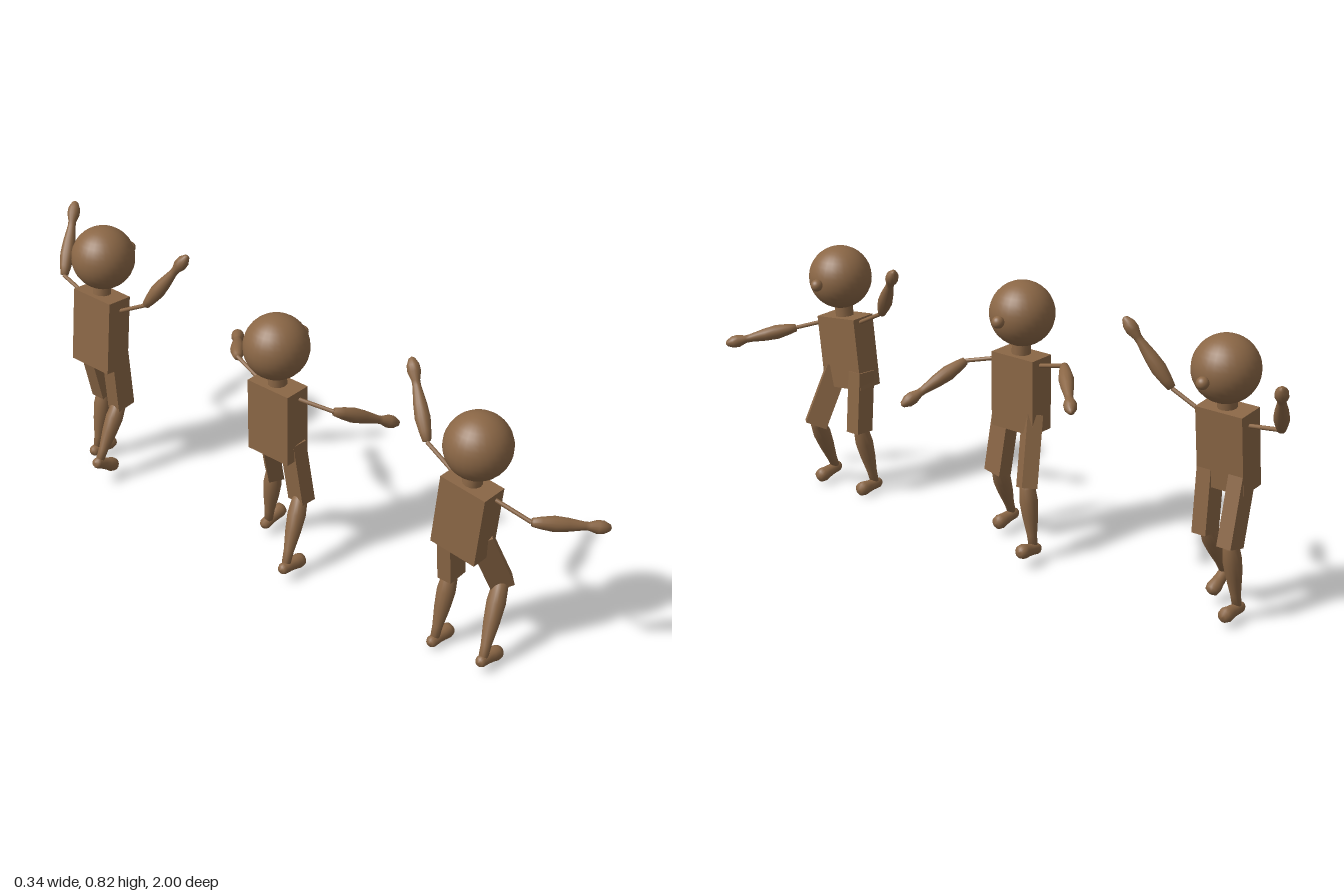
import * as THREE from 'three';

const clay = new THREE.MeshStandardMaterial({ color: 0x8b6746 });
clay.name = 'brown clay';
const UP = new THREE.Vector3(0, 1, 0);

// Lathe profiles as [radius, fraction of length]
const FOREARM = [[0, 0], [0.012, 0.01], [0.017, 0.12], [0.022, 0.28], [0.019, 0.45], [0.012, 0.66],
  [0.012, 0.72], [0.019, 0.82], [0.018, 0.9], [0.009, 0.98], [0, 1]];
const CALF = [[0, 0], [0.016, 0.01], [0.023, 0.12], [0.027, 0.32], [0.023, 0.55], [0.015, 0.82], [0.013, 0.99], [0, 1]];
const FOOT = [[0, 0], [0.012, 0.03], [0.017, 0.12], [0.017, 0.4], [0.019, 0.6], [0.022, 0.78], [0.019, 0.92], [0.01, 0.98], [0, 1]];

// Place a y-aligned geometry between two points
function between(name, a, b, makeGeometry) {
  const p = new THREE.Vector3(...a), d = new THREE.Vector3(...b).sub(p);
  const mesh = new THREE.Mesh(makeGeometry(d.length()), clay);
  mesh.name = name;
  mesh.position.copy(p).addScaledVector(d, 0.5);
  mesh.quaternion.setFromUnitVectors(UP, d.normalize());
  return mesh;
}

const rod = (r) => (len) => new THREE.CylinderGeometry(r, r, len, 12);
const box = (w, depth) => (len) => new THREE.BoxGeometry(w, len, depth);
const turned = (profile) => (len) =>
  new THREE.LatheGeometry(profile.map(([r, t]) => new THREE.Vector2(r, (t - 0.5) * len)), 14);

function ball(name, r, p) {
  const mesh = new THREE.Mesh(new THREE.SphereGeometry(r, 28, 18), clay);
  mesh.name = name;
  mesh.position.set(...p);
  return mesh;
}

function figure(name, pose) {
  const g = new THREE.Group();
  g.name = name;
  const { head, chest, pelvis, nose } = pose;
  g.add(between('torso', pelvis, chest, box(0.085, 0.15)));
  g.add(between('neck', chest, head, rod(0.028)));
  g.add(ball('head', 0.095, head));
  g.add(ball('nose', 0.018, nose));
  for (const { shoulder, elbow, tip } of pose.arms) {
    g.add(between('upperArm', shoulder, elbow, rod(0.006)));
    g.add(between('forearmAndHand', elbow, tip, turned(FOREARM)));
  }
  for (const { hip, knee, ankle, heel, toe } of pose.legs) {
    g.add(between('thigh', hip, knee, box(0.066, 0.046)));
    g.add(between('calf', [knee[0], knee[1] + 0.025, knee[2]], ankle, turned(CALF)));
    g.add(between('foot', heel, toe, turned(FOOT)));
  }
  return g;
}

// Joint positions of the three walking figures, all facing +x
const poses = {
  firstFigure: {
    head: [-0.07, 0.685, 0.697], nose: [0.034, 0.682, 0.697],
    chest: [-0.0725, 0.565, 0.685], pelvis: [-0.0725, 0.345, 0.66],
    arms: [
      { shoulder: [-0.065, 0.54, 0.74], elbow: [-0.037, 0.497, 0.857], tip: [0.13, 0.457, 1.0] },
      { shoulder: [-0.06, 0.555, 0.62], elbow: [-0.053, 0.61, 0.515], tip: [0.033, 0.787, 0.386] }],
    legs: [
      { hip: [-0.062, 0.395, 0.712], knee: [0.01, 0.218, 0.742], ankle: [-0.105, 0.035, 0.773],
        heel: [-0.125, 0.036, 0.773], toe: [-0.025, 0.022, 0.773] },
      { hip: [-0.06, 0.405, 0.61], knee: [-0.045, 0.212, 0.61], ankle: [-0.105, 0.025, 0.606],
        heel: [-0.13, 0.02, 0.606], toe: [-0.03, 0.02, 0.606] }],
  },
  secondFigure: {
    head: [-0.075, 0.715, -0.005], nose: [0.034, 0.715, -0.005],
    chest: [-0.0725, 0.595, -0.004], pelvis: [-0.0725, 0.37, -0.004],
    arms: [
      { shoulder: [-0.07, 0.57, 0.055], elbow: [-0.025, 0.547, 0.164], tip: [0.173, 0.447, 0.24] },
      { shoulder: [-0.068, 0.57, -0.06], elbow: [-0.048, 0.602, -0.178], tip: [0.122, 0.547, -0.335] }],
    legs: [
      { hip: [-0.062, 0.42, 0.042], knee: [-0.045, 0.22, 0.062], ankle: [-0.145, 0.055, 0.09],
        heel: [-0.17, 0.045, 0.09], toe: [-0.07, 0.035, 0.09] },
      { hip: [-0.065, 0.42, -0.052], knee: [0.002, 0.222, -0.085], ankle: [0, 0.045, -0.108],
        heel: [-0.025, 0.032, -0.11], toe: [0.073, 0.052, -0.114] }],
  },
  thirdFigure: {
    head: [-0.035, 0.723, -0.728], nose: [0.075, 0.712, -0.728],
    chest: [-0.05, 0.61, -0.726], pelvis: [-0.072, 0.38, -0.726],
    arms: [
      { shoulder: [-0.05, 0.565, -0.67], elbow: [-0.037, 0.625, -0.555], tip: [0.012, 0.815, -0.425] },
      { shoulder: [-0.05, 0.57, -0.78], elbow: [-0.03, 0.594, -0.91], tip: [0.107, 0.768, -0.99] }],
    legs: [
      { hip: [-0.058, 0.43, -0.674], knee: [-0.042, 0.235, -0.674], ankle: [-0.145, 0.085, -0.672],
        heel: [-0.168, 0.085, -0.672], toe: [-0.08, 0.035, -0.672] },
      { hip: [-0.058, 0.43, -0.777], knee: [-0.01, 0.228, -0.777], ankle: [-0.05, 0.04, -0.781],
        heel: [-0.078, 0.032, -0.781], toe: [0.022, 0.032, -0.781] }],
  },
};

export function createModel() {
  const model = new THREE.Group();
  model.name = 'walkingFigures';
  for (const [name, pose] of Object.entries(poses)) model.add(figure(name, pose));
  return model;
}
